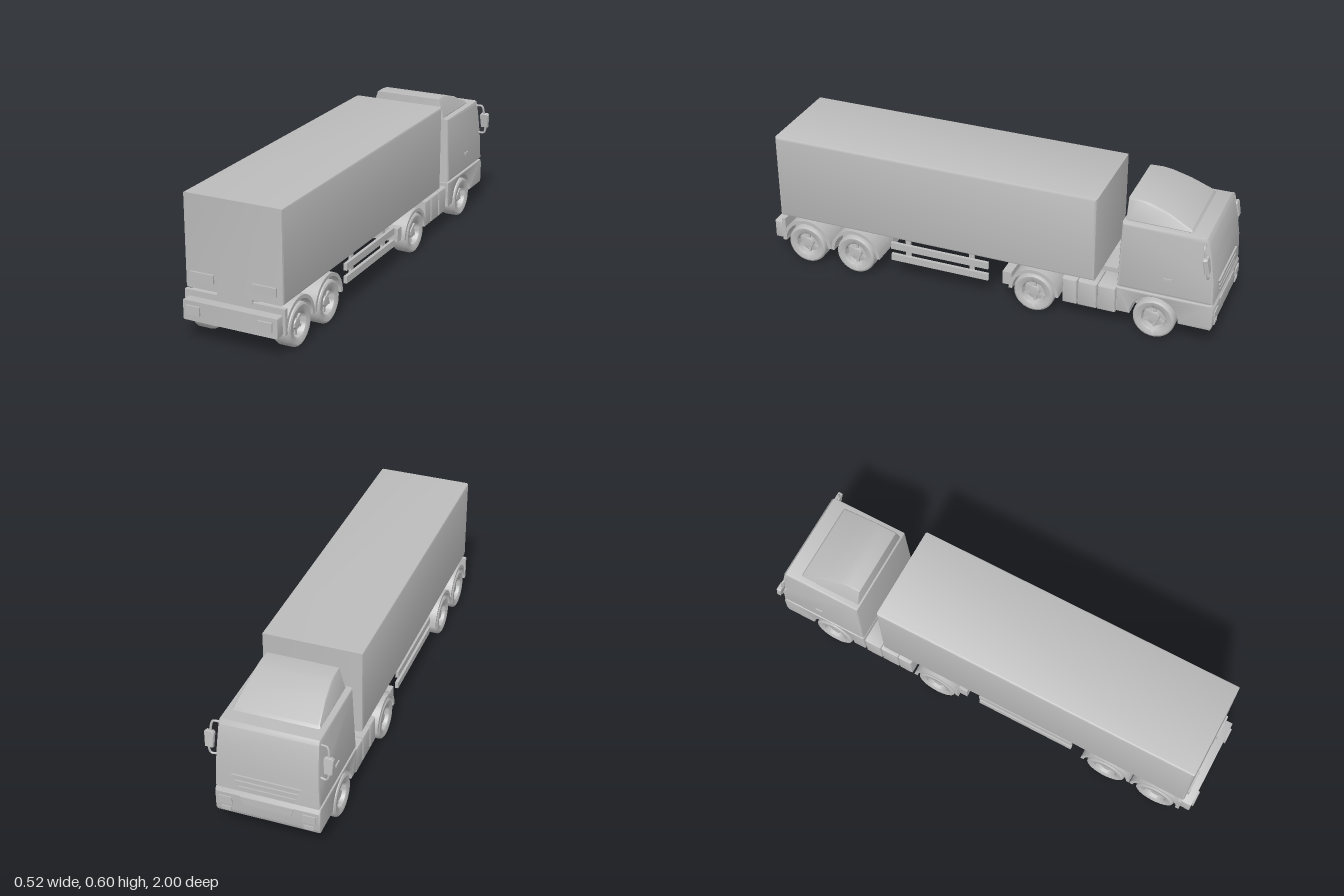
import * as THREE from 'three';
import { toCreasedNormals } from 'three/addons/utils/BufferGeometryUtils.js';

export function createModel() {
  const truck = new THREE.Group();
  truck.name = 'truck';
  const grey = new THREE.MeshStandardMaterial({ color: 0xbcbcbc });
  grey.name = 'plain grey';

  const add = (name, geo, parent = truck) => {
    const m = new THREE.Mesh(geo, grey);
    m.name = name;
    parent.add(m);
    return m;
  };
  const box = (name, x0, x1, y0, y1, z0, z1) =>
    add(name, new THREE.BoxGeometry(x1 - x0, y1 - y0, z1 - z0)
      .translate((x0 + x1) / 2, (y0 + y1) / 2, (z0 + z1) / 2));
  const poly = (pts) => new THREE.Shape(pts.map(([a, b]) => new THREE.Vector2(a, b)));

  // Side profile in (z, y), extruded across x from x0 to x1 with chamfered edges
  const slab = (shape, x0, x1, bevel = 0, taper = null) => {
    const g = new THREE.ExtrudeGeometry(shape, {
      depth: x1 - x0 - 2 * bevel, bevelEnabled: bevel > 0, bevelThickness: bevel,
      bevelSize: bevel, bevelOffset: -bevel, bevelSegments: 2, curveSegments: 20,
    });
    g.rotateY(-Math.PI / 2).translate(x1 - bevel, 0, 0);
    if (taper) {
      const p = g.attributes.position;
      for (let i = 0; i < p.count; i++) p.setX(i, p.getX(i) * taper(p.getY(i)));
    }
    return toCreasedNormals(g, 0.5);
  };
  const rect = (z0, z1, y0, y1) => poly([[z0, y0], [z1, y0], [z1, y1], [z0, y1]]);

  // Flat plate facing forwards (-z) or backwards (+z)
  const plate = (name, pts, z, depth = 0.008) =>
    add(name, new THREE.ExtrudeGeometry(poly(pts), { depth, bevelEnabled: false }).translate(0, 0, z));

  // Trailer body
  const TX = 0.006;
  add('trailerBody', slab(rect(-0.495, 0.955, 0.213, 0.597), TX - 0.213, TX + 0.213, 0.01));
  for (const [a, b] of [[-0.182, -0.078], [0.09, 0.193]])
    box('trailerRearPanel', a, b, 0.247, 0.283, 0.95, 0.963);

  // Upper cab, narrowing slightly to the roof
  add('upperCab', slab(poly([
    [-0.59, 0.213], [-0.992, 0.213], [-0.988, 0.32], [-0.974, 0.41], [-0.957, 0.49],
    [-0.945, 0.508], [-0.597, 0.508],
  ].reverse()), -0.216, 0.216, 0.01, (y) => 1 - 0.055 * (y - 0.213) / 0.295));

  // Lower cab with wheel arches around a solid core
  const R = 0.102, AZ = -0.751, AY = 0.093;
  const low = new THREE.Shape();
  low.moveTo(-0.59, 0.207);
  low.lineTo(-0.985, 0.207);
  low.lineTo(-0.995, 0.19);
  low.lineTo(-0.995, 0.11);
  low.lineTo(-0.988, AY);
  low.lineTo(AZ - R, AY);
  low.absarc(AZ, AY, R, Math.PI, 0, true);
  low.lineTo(-0.59, AY);
  low.closePath();
  add('lowerCab', slab(low, -0.217, 0.217, 0.006));
  box('cabFloor', -0.13, 0.13, 0.092, 0.2, -0.97, -0.595);
  box('cabJoint', -0.205, 0.205, 0.2, 0.22, -0.98, -0.6);

  // Roof wind deflector
  add('roofDeflector', slab(poly([
    [-0.605, 0.505], [-0.605, 0.595], [-0.66, 0.597], [-0.7, 0.591], [-0.78, 0.565],
    [-0.875, 0.52], [-0.885, 0.505],
  ].reverse()), -0.18, 0.18, 0.008, (y) => 1 - 0.15 * (y - 0.505) / 0.09));

  // Grille: stacked slats between trapezoid frames
  const trap = (y0, w0, y1, w1) => [[-w0, y0], [w0, y0], [w1, y1], [-w1, y1]];
  for (const [y0, w0, y1, w1] of [
    [0.272, 0.133, 0.29, 0.142], [0.246, 0.121, 0.264, 0.13], [0.22, 0.109, 0.238, 0.118],
  ]) plate('grilleSlat', trap(y0, w0, y1, w1), -0.996);
  plate('lowerGrille', trap(0.155, 0.1, 0.19, 0.11), -0.999);

  // Details on both sides of the cab
  for (const s of [-1, 1]) {
    const hx = [s * 0.145, s * 0.2].sort((a, b) => a - b);
    box('headlight', hx[0], hx[1], 0.14, 0.175, -1, -0.98);
    const fx = [s * 0.15, s * 0.19].sort((a, b) => a - b);
    box('fogLight', fx[0], fx[1], 0.108, 0.125, -0.999, -0.98);
    const dx = [s * 0.208, s * 0.218].sort((a, b) => a - b);
    box('doorHandle', dx[0], dx[1], 0.286, 0.296, -0.82, -0.785);

    // Mirror on a looped bracket
    const mirror = new THREE.Group();
    mirror.name = 'mirror';
    truck.add(mirror);
    const path = new THREE.CatmullRomCurve3([
      [0.2, 0.486, -0.94], [0.228, 0.487, -0.943], [0.236, 0.475, -0.946], [0.24, 0.44, -0.952],
      [0.243, 0.37, -0.965], [0.238, 0.351, -0.966], [0.228, 0.347, -0.966], [0.205, 0.35, -0.962],
    ].map(([x, y, z]) => new THREE.Vector3(s * x, y, z)), false, 'catmullrom', 0.2);
    add('mirrorBracket', new THREE.TubeGeometry(path, 28, 0.005, 6), mirror);
    const head = add('mirrorHousing', toCreasedNormals(new THREE.ExtrudeGeometry(
      poly([[-0.018, -0.035], [0.015, -0.035], [0.02, 0.028], [0.014, 0.035], [-0.014, 0.035], [-0.021, 0.028]]),
      { depth: 0.014, bevelEnabled: true, bevelSize: 0.002, bevelOffset: -0.002, bevelThickness: 0.003, bevelSegments: 1 }), 0.5), mirror);
    head.position.set(s * 0.241, 0.414, -0.967);
    head.rotation.x = 0.17;
  }

  // Tractor chassis, tanks and coupling
  box('tractorFrame', -0.075, 0.075, 0.085, 0.203, -0.6, -0.1);
  for (const [z0, z1] of [[-0.585, -0.508], [-0.504, -0.422], [-0.418, -0.355]])
    for (const [a, b] of [[-0.214, -0.09], [0.085, 0.209]])
      add('sideTank', slab(rect(z0, z1, 0.075, 0.192), a, b, 0.006));
  box('tankMount', -0.16, 0.16, 0.1, 0.17, -0.58, -0.36);
  box('tractorRearBar', -0.2, 0.2, 0.095, 0.155, -0.125, -0.085);
  add('couplingPlate', new THREE.CylinderGeometry(0.07, 0.07, 0.03, 24).translate(0, 0.203, -0.25));

  // Mudguards: an arched outer band and a solid inner panel
  const band = (z, r) => {
    const s = new THREE.Shape();
    s.absarc(z, 0.092, r, 0, Math.PI, false);
    s.absarc(z, 0.092, r - 0.015, Math.PI, 0, true);
    return s;
  };
  const half = (z, r) => {
    const s = new THREE.Shape();
    s.absarc(z, 0.092, r, 0, Math.PI, false);
    return s;
  };
  const mudguard = (z, cx, r) => {
    for (const s of [-1, 1]) {
      const [a, b] = s < 0 ? [-0.217, -0.135] : [0.135, 0.217];
      add('mudguardArch', slab(band(z, r), cx + a, cx + b));
      const [c, d] = s < 0 ? [-0.14, -0.075] : [0.075, 0.14];
      add('mudguardPanel', slab(half(z, r), cx + c, cx + d));
    }
  };
  mudguard(-0.23, 0, 0.11);
  mudguard(0.596, TX, 0.117);
  mudguard(0.832, TX, 0.117);

  // Rear bogie and bumper
  box('bogieFrame', TX - 0.077, TX + 0.077, 0.08, 0.214, 0.48, 0.95);
  box('bogieFloor', TX - 0.138, TX + 0.138, 0.08, 0.1, 0.5, 0.95);
  for (const [a, b] of [[-0.215, -0.072], [0.084, 0.224]])
    box('rearFenderBlock', a, b, 0.092, 0.2, 0.933, 0.95);
  add('rearBumper', slab(rect(0.945, 0.992, 0.093, 0.175), TX - 0.207, TX + 0.207, 0.006));
  for (const [a, b] of [[-0.182, -0.122], [0.133, 0.193]])
    box('rearLight', a, b, 0.12, 0.157, 0.985, 1);

  // Side guard rails hung below the trailer
  for (const s of [-1, 1]) {
    const cx = TX + s * 0.2;
    for (const y of [0.1, 0.156])
      box('guardRail', cx - 0.007, cx + 0.007, y, y + 0.031, -0.024, 0.425);
    for (const z of [0.055, 0.35]) {
      const px = cx - s * 0.012;
      box('guardPost', px - 0.006, px + 0.006, 0.1, 0.216, z - 0.011, z + 0.011);
    }
  }

  // Wheels with recessed rim, hub and bolts, and their axles
  const wheelGeo = toCreasedNormals(new THREE.LatheGeometry([
    [0, -0.034], [0.05, -0.034], [0.079, -0.038], [0.086, -0.034], [0.089, -0.026], [0.089, 0.026],
    [0.086, 0.034], [0.079, 0.038], [0.058, 0.036], [0.052, 0.032], [0.046, 0.008],
    [0.024, 0.012], [0.021, 0.024], [0, 0.026],
  ].map(([r, h]) => new THREE.Vector2(r, h)), 36), 0.6).rotateZ(-Math.PI / 2);
  const spokeGeo = new THREE.BoxGeometry(0.014, 0.03, 0.012);
  for (const [z, cx] of [[-0.751, 0], [-0.23, 0], [0.596, TX], [0.832, TX]]) {
    for (const s of [-1, 1]) {
      const wheel = new THREE.Group();
      wheel.name = 'wheel';
      wheel.position.set(cx + s * 0.18, 0.091, z);
      wheel.rotation.y = s < 0 ? Math.PI : 0;
      truck.add(wheel);
      add('tyreAndRim', wheelGeo, wheel);
      for (let i = 0; i < 6; i++) {
        const a = i * Math.PI / 3;
        const spoke = add('rimSpoke', spokeGeo, wheel);
        spoke.position.set(0.01, Math.cos(a) * 0.034, Math.sin(a) * 0.034);
        spoke.rotation.x = a;
      }
    }
    const axle = add('axle', new THREE.CylinderGeometry(0.016, 0.016, 0.32, 12).rotateZ(Math.PI / 2));
    axle.position.set(cx, 0.091, z);
  }
  return truck;
}
